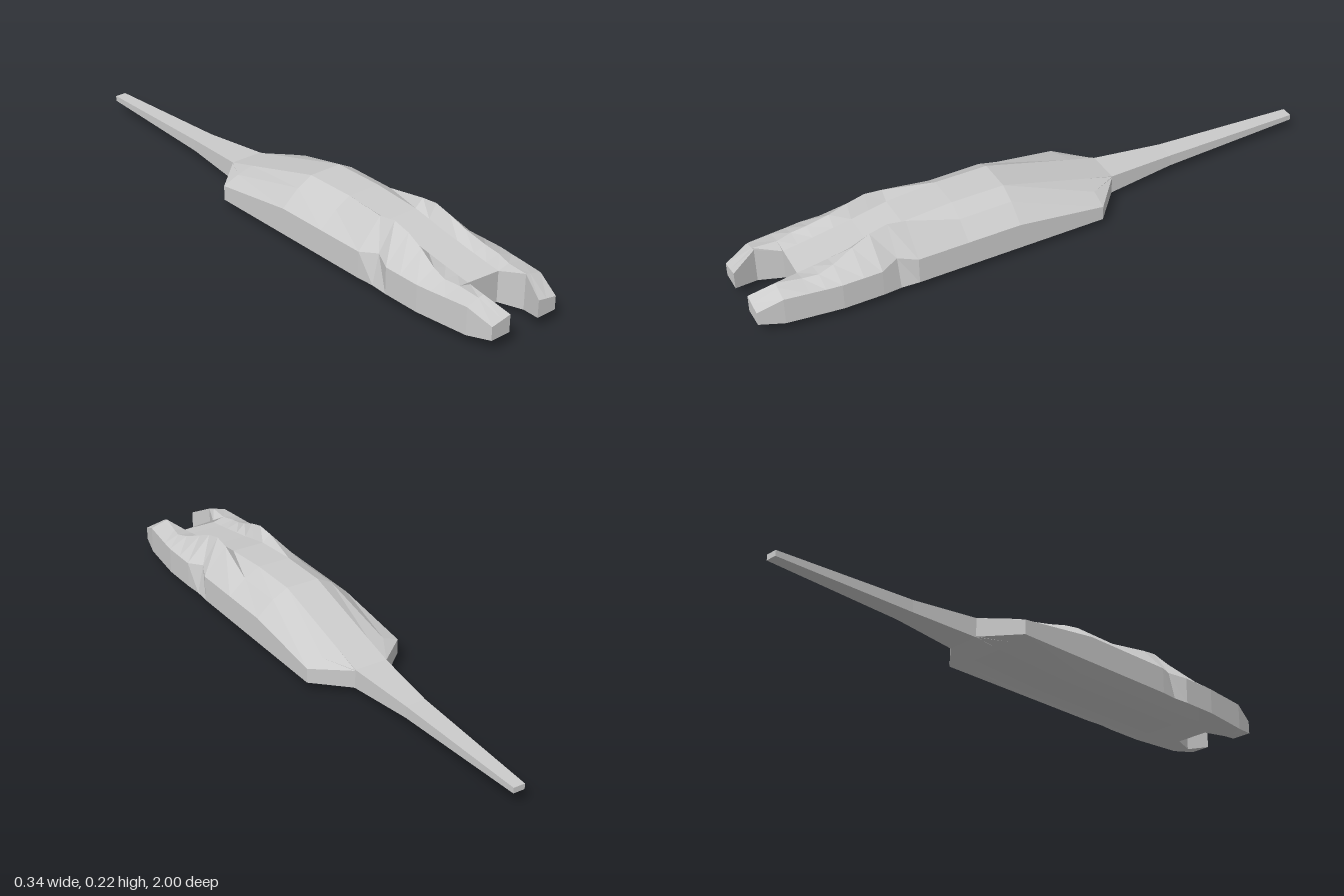
import * as THREE from 'three';

// Skins a list of { z, ring } sections; rings run clockwise seen from +z, z increases.
function loft(name, sections, capBack, capFront) {
  const pos = [];
  const tri = (a, b, c) => {
    const area = b.clone().sub(a).cross(c.clone().sub(a)).length();
    if (area > 1e-7) for (const p of [a, b, c]) pos.push(p.x, p.y, p.z);
  };
  const rings = sections.map(({ z, ring }) => ring.map(([x, y]) => new THREE.Vector3(x, y, z)));
  const n = rings[0].length;
  for (let s = 0; s < rings.length - 1; s++) {
    for (let i = 0; i < n; i++) {
      const j = (i + 1) % n;
      const [a, b, c, d] = [rings[s][i], rings[s][j], rings[s + 1][i], rings[s + 1][j]];
      tri(a, c, b);
      tri(b, c, d);
    }
  }
  const first = rings[0], last = rings[rings.length - 1];
  for (let i = 1; i < n - 1; i++) {
    if (capBack) tri(first[0], first[i], first[i + 1]);
    if (capFront) tri(last[0], last[i + 1], last[i]);
  }
  const geo = new THREE.BufferGeometry();
  geo.setAttribute('position', new THREE.Float32BufferAttribute(pos, 3));
  geo.computeVertexNormals();
  const mat = new THREE.MeshStandardMaterial({ color: 0xcccccc, flatShading: true });
  const mesh = new THREE.Mesh(geo, mat);
  mesh.name = name;
  return mesh;
}

const flip = (half) => half.map(([x, y]) => [-x, y]).reverse();

// Half section: inner top, brow ridge, wall top, wall bottom, belly edge, belly.
const half = (topY, ridgeX, ridgeY, wallX, wallY, bellyY) => [
  [0.058, topY], [ridgeX, ridgeY], [wallX, wallY],
  [Math.max(wallX, wallY < 0.125 ? wallX : 0.168), 0.03],
  [0.115, bellyY + (0.03 - bellyY) * 0.33], [0.058, bellyY],
];

export function createModel() {
  const group = new THREE.Group();
  group.name = 'creature';

  // Body: narrow rump, broad back, raised brows, sloping snout
  const rump = [[0.058, 0.09], [0.058, 0.088], [0.058, 0.086], [0.058, 0.026], [0.058, 0.025], [0.058, 0.024]];
  const body = [
    [-0.16, half(0.117, 0.115, 0.102, 0.172, 0.08, 0.016)],
    [0.14, half(0.2, 0.112, 0.172, 0.172, 0.12, 0)],
    [0.32, half(0.2, 0.112, 0.17, 0.172, 0.12, 0)],
    [0.49, half(0.187, 0.088, 0.212, 0.172, 0.12, 0)],
    [0.55, half(0.175, 0.085, 0.22, 0.145, 0.13, 0)],
    [0.61, half(0.162, 0.085, 0.205, 0.172, 0.12, 0)],
    [0.67, half(0.152, 0.09, 0.18, 0.172, 0.12, 0)],
    [0.74, half(0.14, 0.105, 0.152, 0.172, 0.12, 0.009)],
    [0.79, half(0.132, 0.112, 0.14, 0.166, 0.12, 0.015)],
    [0.84, half(0.125, 0.1, 0.135, 0.16, 0.121, 0.02)],
  ];
  group.add(loft('body', [[-0.26, rump], ...body].map(([z, h]) => ({ z, ring: [...h, ...flip(h)] })), true, true));

  // Tail: tapering four-sided strip
  const tail = [[-1, 0.02, 0.064, 0.045], [-0.75, 0.028, 0.07, 0.04], [-0.5, 0.036, 0.076, 0.035], [-0.26, 0.058, 0.09, 0.024]];
  group.add(loft('tail', tail.map(([z, x, top, low]) => {
    const side = [[x, top], [x, low]];
    return { z, ring: [...side, ...flip(side)] };
  }), true, false));

  // Front prongs: bent inward at the tips
  const prong = [
    [0.84, body[body.length - 1][1]],
    [0.92, [[0.087, 0.14], [0.105, 0.135], [0.15, 0.122], [0.15, 0.03], [0.115, 0.022], [0.087, 0.02]]],
    [1, [[0.058, 0.1], [0.09, 0.094], [0.13, 0.087], [0.13, 0.042], [0.1, 0.042], [0.058, 0.042]]],
  ];
  group.add(loft('leftProng', prong.map(([z, ring]) => ({ z, ring })), false, true));
  group.add(loft('rightProng', prong.map(([z, ring]) => ({ z, ring: flip(ring) })), false, true));
  return group;
}
